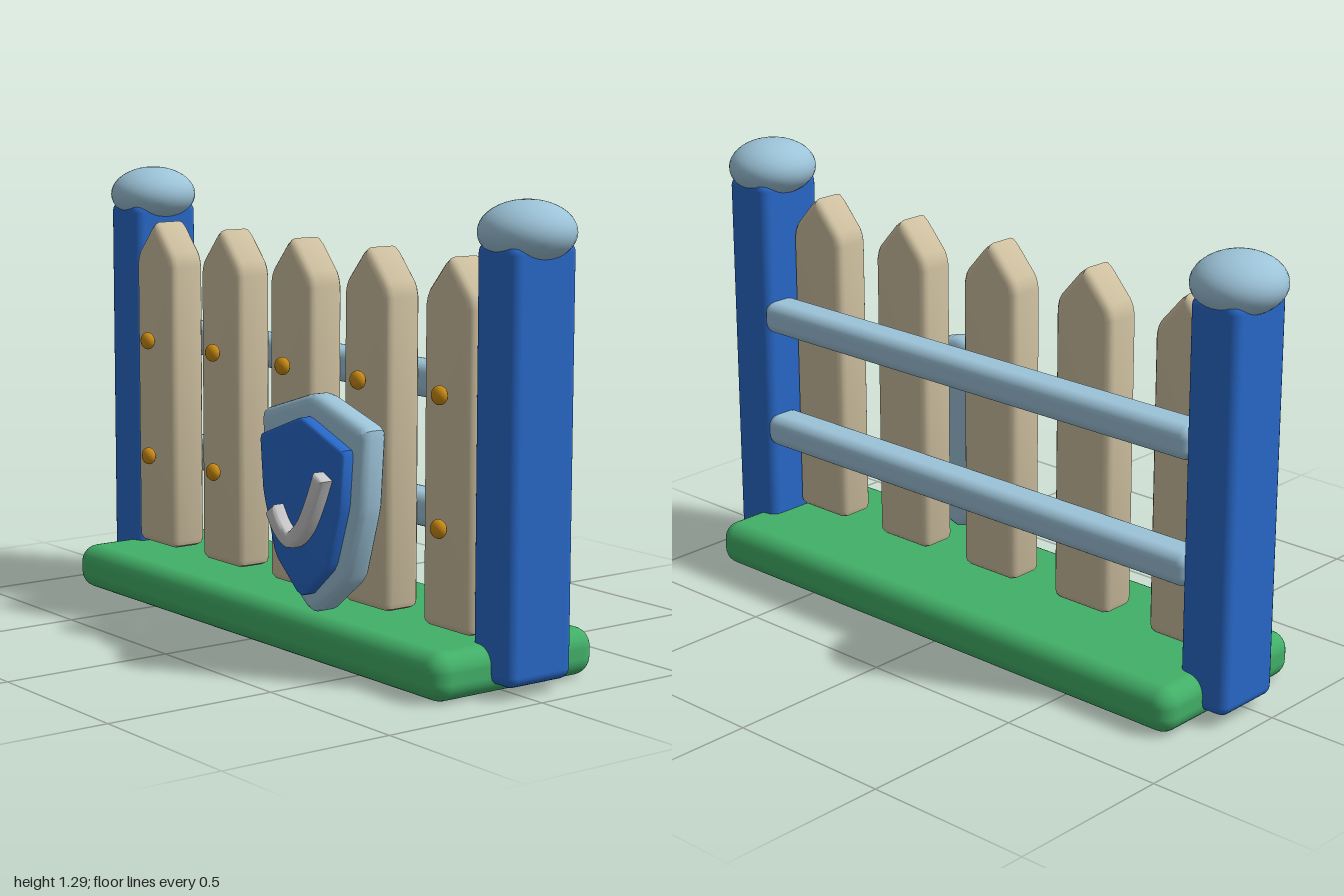
import * as THREE from 'three';
import { toCreasedNormals } from 'three/addons/utils/BufferGeometryUtils.js';
import { RoundedBoxGeometry } from 'three/addons/geometries/RoundedBoxGeometry.js';

const material = (name, color) => {
  const m = new THREE.MeshStandardMaterial({ color });
  m.name = name;
  return m;
};

export function createModel() {
  const blue = material('blue', 0x2868c8);
  const paleBlue = material('paleBlue', 0x9cc3d8);
  const green = material('green', 0x42b068);
  const wood = material('wood', 0xcdbf9f);
  const gold = material('gold', 0xc98a14);
  const silver = material('silver', 0xc6c6c8);

  const model = new THREE.Group();
  model.name = 'fence';

  const add = (name, geometry, mat, x, y, z, parent = model) => {
    const mesh = new THREE.Mesh(geometry, mat);
    mesh.name = name;
    mesh.position.set(x, y, z);
    parent.add(mesh);
    return mesh;
  };
  const ellipsoid = (rx, ry, rz, w, h) => new THREE.SphereGeometry(1, w, h).scale(rx, ry, rz);

  // Bevelled plate whose outline is the final silhouette, spanning z = 0..depth
  const plate = (points, depth, bevel) => {
    const g = new THREE.ExtrudeGeometry(new THREE.Shape(points), {
      depth: depth - 2 * bevel, bevelEnabled: true, bevelThickness: bevel,
      bevelSize: bevel, bevelOffset: -bevel, bevelSegments: 3, curveSegments: 6,
    });
    return toCreasedNormals(g.translate(0, 0, bevel), 0.6);
  };
  // Closed outline mirrored across x = 0; points run up the right side
  const mirrored = (half) => [
    ...half.map(([x, y]) => new THREE.Vector2(x, y)),
    ...half.filter(([x]) => x > 0).reverse().map(([x, y]) => new THREE.Vector2(-x, y)),
  ];

  // Grass base
  add('base', new RoundedBoxGeometry(1.76, 0.132, 0.555, 4, 0.052), green, 0, 0.066, -0.026);

  // End posts with domed caps
  const postGeo = new RoundedBoxGeometry(0.158, 1.15, 0.222, 3, 0.03);
  const capGeo = ellipsoid(0.127, 0.084, 0.131, 32, 20);
  for (const side of [-1, 1]) {
    add('post', postGeo, blue, side * 0.873, 0.605, -0.041);
    add('postCap', capGeo, paleBlue, side * 0.873, 1.202, -0.041);
  }

  // Horizontal rails
  const railGeo = new RoundedBoxGeometry(1.63, 0.096, 0.116, 3, 0.034);
  for (const y of [0.768, 0.41]) add('rail', railGeo, paleBlue, 0, y, -0.098);

  // Pointed pickets, each with two nails
  const picketGeo = plate(mirrored([
    [0.08, 0.14], [0.095, 0.147], [0.1, 0.162], [0.1, 1.0], [0.094, 1.025],
    [0.085, 1.042], [0.02, 1.115], [0, 1.13],
  ]), 0.116, 0.022);
  const nailGeo = ellipsoid(0.027, 0.026, 0.019, 16, 12);
  for (let i = -2; i <= 2; i++) {
    const x = i * 0.348;
    add('picket', picketGeo, wood, x, 0, -0.041);
    for (const y of [0.772, 0.418]) add('nail', nailGeo, gold, x, y, 0.099);
  }

  // Shield: rim, inner face and check mark
  const shield = new THREE.Group();
  shield.name = 'shield';
  shield.position.x = 0.31;
  model.add(shield);

  const rim = mirrored([
    [0, 0.138], [0.03, 0.147], [0.145, 0.238], [0.165, 0.265], [0.215, 0.43], [0.222, 0.46],
    [0.236, 0.645], [0.232, 0.667], [0.215, 0.678], [0.03, 0.735], [0, 0.74],
  ]);
  add('shieldRim', plate(rim, 0.083, 0.026), paleBlue, 0, 0, 0.147, shield);

  const face = mirrored([
    [0, 0.19], [0.02, 0.197], [0.11, 0.275], [0.125, 0.3], [0.172, 0.44], [0.178, 0.465],
    [0.19, 0.6], [0.184, 0.613], [0.02, 0.675], [0, 0.68],
  ]);
  add('shieldFace', plate(face, 0.044, 0.01), blue, 0, 0, 0.221, shield);

  // Check mark: a ribbon of constant width along a curve
  const path = new THREE.CatmullRomCurve3([
    [-0.095, 0.42], [-0.058, 0.37], [-0.012, 0.346], [0.042, 0.384], [0.085, 0.452], [0.125, 0.538],
  ].map(([x, y]) => new THREE.Vector3(x, y, 0)));
  const outer = [], inner = [];
  for (let i = 0; i <= 16; i++) {
    const p = path.getPoint(i / 16), t = path.getTangent(i / 16);
    outer.push(new THREE.Vector2(p.x + t.y * 0.023, p.y - t.x * 0.023));
    inner.unshift(new THREE.Vector2(p.x - t.y * 0.023, p.y + t.x * 0.023));
  }
  add('checkMark', plate([...outer, ...inner], 0.046, 0.011), silver, 0, 0, 0.258, shield);

  return model;
}
